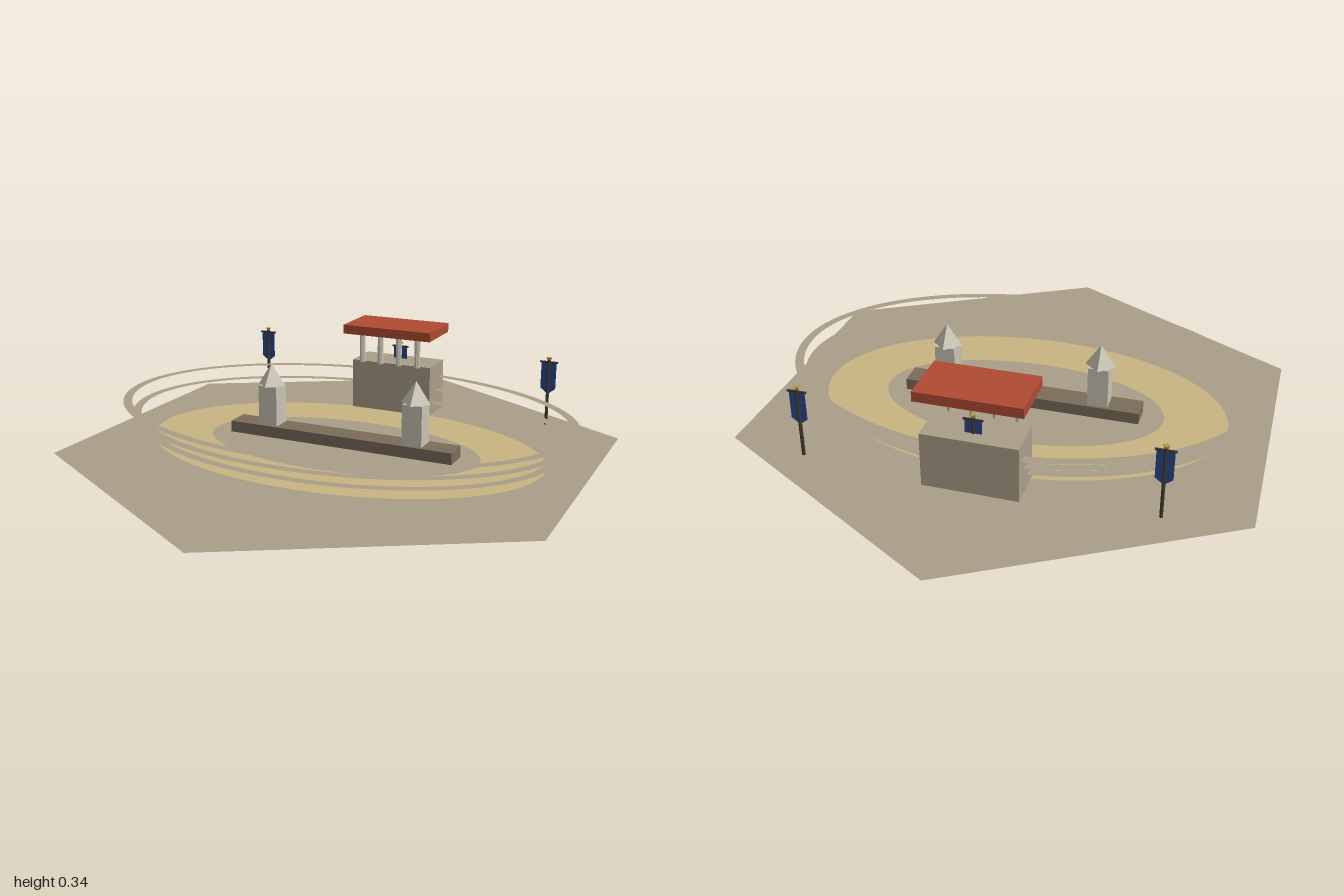
import * as THREE from 'three';

const mat = (name, color, side = THREE.FrontSide) => {
  const m = new THREE.MeshStandardMaterial({ color, side });
  m.name = name;
  return m;
};

export function createModel() {
  const model = new THREE.Group();
  model.name = 'racingArena';

  const stone = mat('tan stone', 0xaa9e88, THREE.DoubleSide);
  const sand = mat('sand', 0xc8b482, THREE.DoubleSide);
  const darkStone = mat('dark stone', 0x7a6c5a);
  const marble = mat('pale marble', 0xc8c4b4);
  const tile = mat('red tile', 0xb04a32);
  const cloth = mat('blue cloth', 0x28478f, THREE.DoubleSide);
  const wood = mat('dark wood', 0x40382e);
  const gold = mat('gold', 0xb8923c);

  const add = (parent, name, geometry, material, x = 0, y = 0, z = 0) => {
    const mesh = new THREE.Mesh(geometry, material);
    mesh.name = name;
    mesh.position.set(x, y, z);
    parent.add(mesh);
    return mesh;
  };
  const box = (parent, name, w, h, d, material, x, y, z) =>
    add(parent, name, new THREE.BoxGeometry(w, h, d), material, x, y, z);
  const faceted = (geometry) => {
    const g = geometry.toNonIndexed();
    g.computeVertexNormals();
    return g;
  };

  // Flat elliptical ring lying at height y
  const ovalRing = (name, outer, inner, material, y) => {
    const shape = new THREE.Shape().absellipse(0, 0, outer[0], outer[1], 0, Math.PI * 2);
    shape.holes.push(new THREE.Path().absellipse(0, 0, inner[0], inner[1], 0, Math.PI * 2));
    const g = new THREE.ShapeGeometry(shape, 64).rotateX(-Math.PI / 2);
    add(model, name, g, material, 0, y, 0);
  };

  // Hexagonal ground with a corner towards the front
  add(model, 'ground', new THREE.CircleGeometry(1, 6, Math.PI / 2).rotateX(-Math.PI / 2), stone);

  // Sand track and three rising tiers of seating
  ovalRing('sandTrack', [0.725, 0.465], [0.505, 0.27], sand, 0.005);
  for (let i = 0; i < 3; i++) {
    const a = 0.737 + i * 0.031, b = 0.478 + i * 0.032;
    ovalRing('seatingTier', [a + 0.031, b + 0.032], [a, b], stone, 0.05 + i * 0.045);
  }

  // Central barrier with a pointed marker tower near each end
  box(model, 'centralBarrier', 0.85, 0.041, 0.09, darkStone, 0, 0.0275, 0);
  for (const side of [-1, 1]) {
    const tower = new THREE.Group();
    tower.name = side > 0 ? 'leftTower' : 'rightTower';
    tower.position.x = side * 0.277;
    box(tower, 'towerShaft', 0.072, 0.145, 0.072, marble, 0, 0.12, 0);
    add(tower, 'towerSpire', faceted(new THREE.ConeGeometry(0.053, 0.078, 4)), marble, 0, 0.231, 0);
    model.add(tower);
  }

  // Viewing pavilion on the rear stand
  const pavilion = new THREE.Group();
  pavilion.name = 'pavilion';
  box(pavilion, 'pavilionBase', 0.32, 0.19, 0.145, stone, 0, 0.102, -0.5125);
  for (const x of [-0.113, -0.038, 0.038, 0.113]) {
    add(pavilion, 'column', faceted(new THREE.CylinderGeometry(0.011, 0.011, 0.115, 6)), marble, x, 0.2535, -0.426);
  }
  box(pavilion, 'pavilionRoof', 0.353, 0.034, 0.2, tile, 0, 0.327, -0.486);
  model.add(pavilion);

  // Hanging banner with a pointed lower edge
  const bannerShape = new THREE.Shape([
    [-0.028, 0.246], [-0.028, 0.146], [0, 0.124], [0.028, 0.146], [0.028, 0.246],
  ].map(([x, y]) => new THREE.Vector2(x, y)));
  const bannerGeo = new THREE.ShapeGeometry(bannerShape);

  // Banner standards along the back
  for (const x of [-0.59, 0, 0.59]) {
    const standard = new THREE.Group();
    standard.name = 'bannerStandard';
    standard.position.set(x, 0, -0.535);
    add(standard, 'pole', faceted(new THREE.CylinderGeometry(0.006, 0.006, 0.248, 6)), wood, 0, 0.131, 0);
    box(standard, 'crossbar', 0.066, 0.006, 0.006, wood, 0, 0.246, 0);
    add(standard, 'banner', bannerGeo, cloth, 0, 0, 0);
    add(standard, 'finial', faceted(new THREE.CylinderGeometry(0.011, 0.004, 0.013, 4)), gold, 0, 0.257, 0);
    model.add(standard);
  }

  return model;
}
